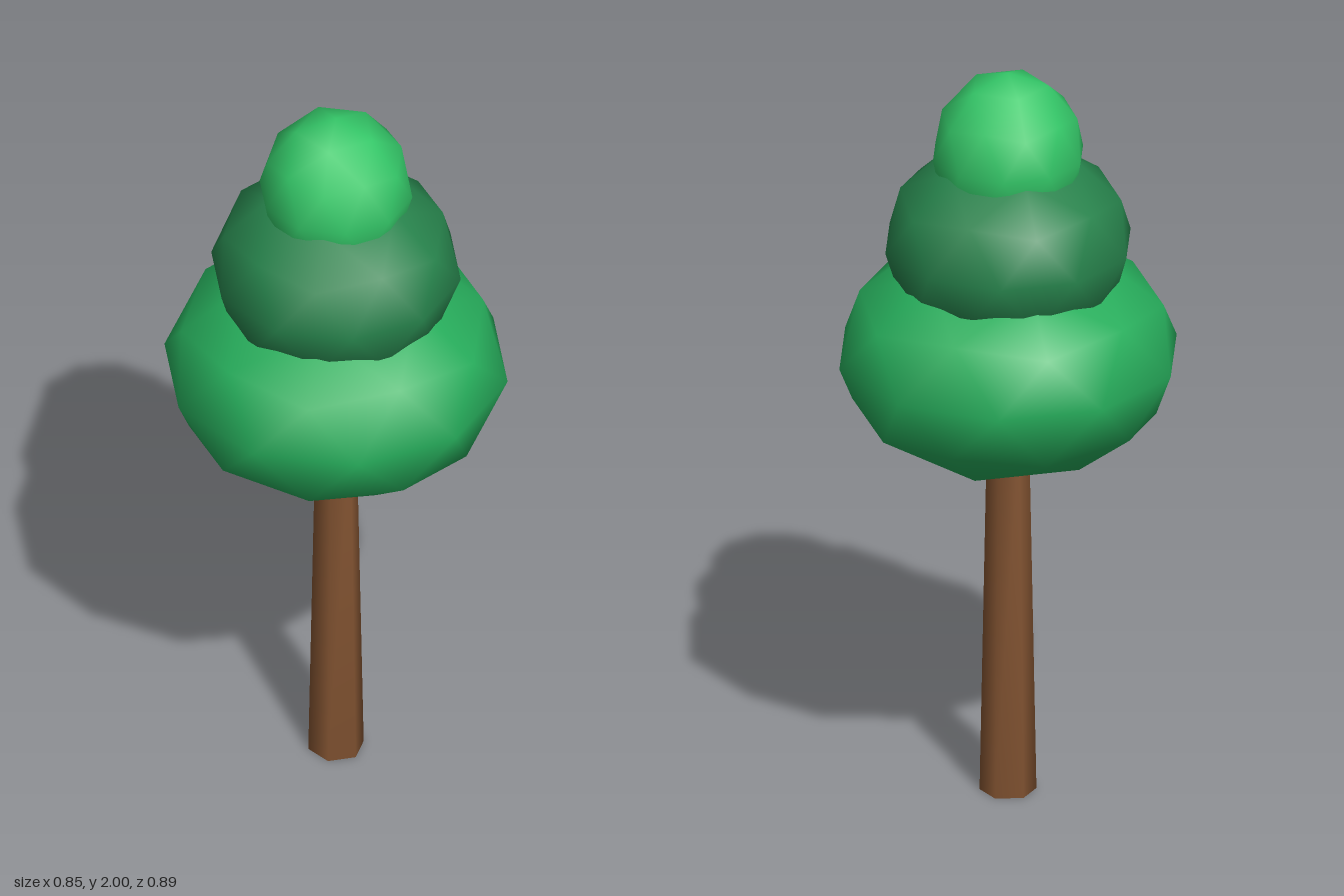
import * as THREE from 'three';
import { mergeVertices } from 'three/addons/utils/BufferGeometryUtils.js';

const leafMid = new THREE.MeshStandardMaterial({ name: 'leaf green', color: 0x27ae5c });
const leafDark = new THREE.MeshStandardMaterial({ name: 'dark green', color: 0x27834c });
const leafLight = new THREE.MeshStandardMaterial({ name: 'light green', color: 0x34c768 });
const bark = new THREE.MeshStandardMaterial({ name: 'bark brown', color: 0x825331 });

// Smooth low-poly ball, a corner pointing straight up, squashed to radius r and half height h
function foliage(name, material, r, h, y) {
  const geometry = new THREE.IcosahedronGeometry(1, 1);
  geometry.rotateZ(-Math.atan(2 / (1 + Math.sqrt(5))));
  geometry.scale(r, h, r);
  const mesh = new THREE.Mesh(geometry, material);
  mesh.name = name;
  mesh.position.y = y;
  return mesh;
}

export function createModel() {
  const tree = new THREE.Group();
  tree.name = 'tree';

  // Tapered six-sided trunk, shaded smoothly across its edges
  let trunkShape = new THREE.CylinderGeometry(0.054, 0.073, 1.0, 6);
  trunkShape.deleteAttribute('normal');
  trunkShape.deleteAttribute('uv');
  trunkShape = mergeVertices(trunkShape);
  trunkShape.computeVertexNormals();
  const trunk = new THREE.Mesh(trunkShape, bark);
  trunk.name = 'trunk';
  trunk.position.y = 0.5;

  // Three stacked foliage balls
  tree.add(
    trunk,
    foliage('lowerFoliage', leafMid, 0.447, 0.312, 1.22),
    foliage('middleFoliage', leafDark, 0.325, 0.27, 1.53),
    foliage('topFoliage', leafLight, 0.199, 0.225, 1.775),
  );
  return tree;
}
